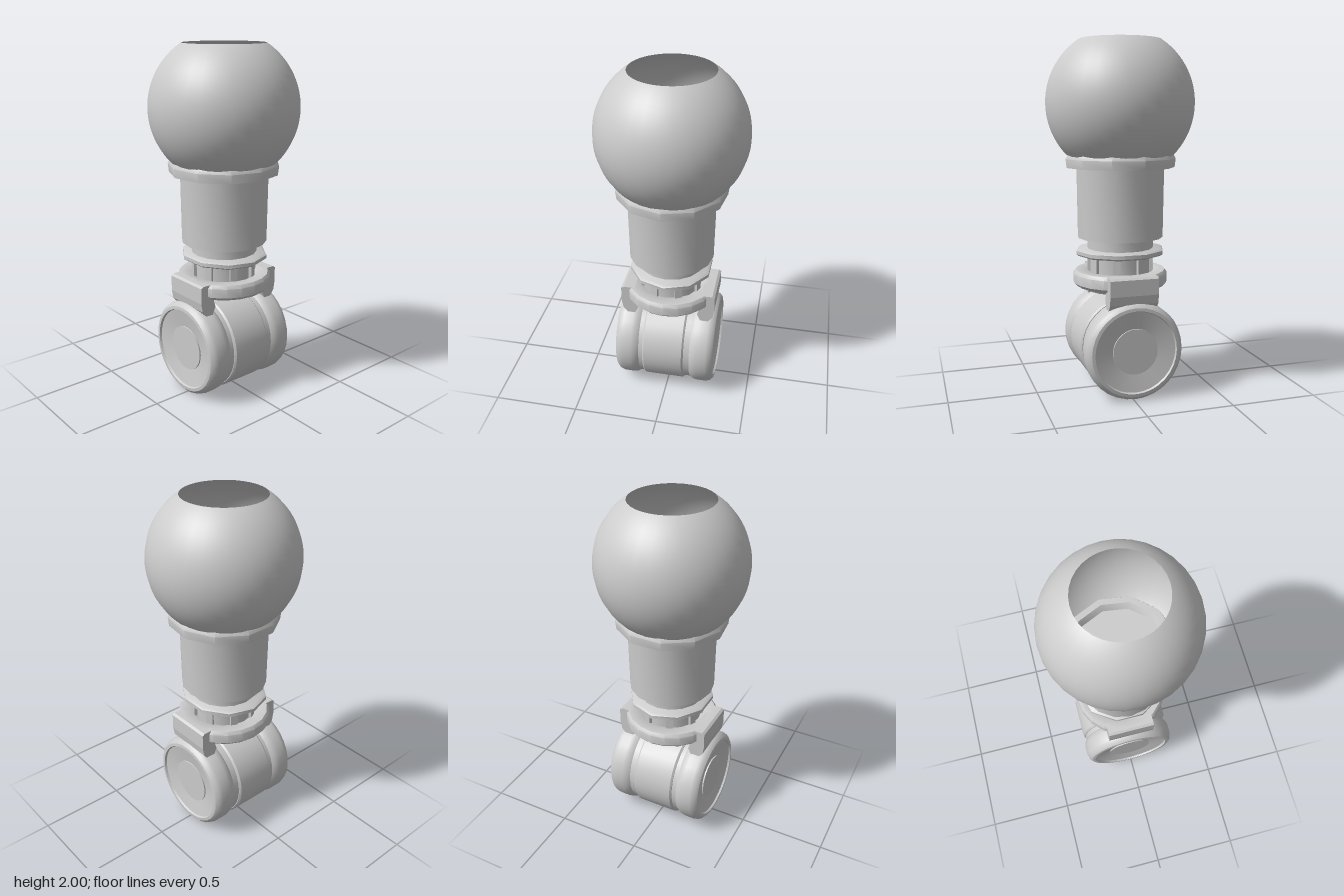
import * as THREE from 'three';
import { toCreasedNormals } from 'three/addons/utils/BufferGeometryUtils.js';

const grey = new THREE.MeshStandardMaterial({ color: 0xcccccc });
const greyDouble = new THREE.MeshStandardMaterial({ color: 0xcccccc, side: THREE.DoubleSide });

export function createModel() {
  const model = new THREE.Group();

  const add = (name, geometry, material = grey) => {
    const mesh = new THREE.Mesh(geometry, material);
    mesh.name = name;
    model.add(mesh);
    return mesh;
  };
  // Turned part from [radius, height] pairs, listed bottom to top
  const turned = (profile, sides, crease = 0.7) =>
    toCreasedNormals(new THREE.LatheGeometry(profile.map(([r, y]) => new THREE.Vector2(r, y)), sides), crease);

  // Hollow ball, open at the top, seated in the collar
  const ballRadius = 0.42, ballY = 1.65;
  const topAngle = Math.acos((2 - ballY) / ballRadius);
  const ball = new THREE.SphereGeometry(ballRadius, 32, 24, 0, Math.PI * 2, topAngle, 2.42 - topAngle);
  add('ball', ball, greyDouble).position.y = ballY;

  // Faceted collar under the ball
  add('collar', turned([[0, 1.29], [0.312, 1.29], [0.318, 1.34], [0.305, 1.362], [0.27, 1.362], [0.25, 1.32], [0, 1.32]], 11));

  // Column
  add('column', turned([[0, 0.89], [0.246, 0.89], [0.252, 1.3], [0, 1.3]], 16));

  // Neck with a thin ring and small ribs
  add('neck', turned([[0, 0.66], [0.175, 0.66], [0.175, 0.8], [0.19, 0.8], [0.19, 0.9], [0, 0.9]], 16));
  const ring = add('neckRing', turned([[0, 0.787], [0.245, 0.787], [0.26, 0.797], [0.26, 0.817], [0.245, 0.827], [0, 0.827]], 10));
  ring.scale.x = 0.93;
  for (let i = 0; i < 8; i++) {
    const a = ((i + 0.5) / 8) * Math.PI * 2;
    const rib = add('neckRib', new THREE.BoxGeometry(0.04, 0.12, 0.03));
    rib.position.set(Math.sin(a) * 0.173, 0.74, Math.cos(a) * 0.173);
    rib.rotation.y = a;
  }

  // Yoke: rounded disc with a smaller underside and two arms
  add('yokeDisc', turned([
    [0, 0.588], [0.2, 0.588], [0.215, 0.61], [0.255, 0.612], [0.272, 0.63],
    [0.272, 0.682], [0.258, 0.7], [0.2, 0.7], [0.18, 0.685], [0, 0.685],
  ], 20));
  const armShape = new THREE.Shape(
    [[0.19, 0.69], [0.19, 0.6], [0.178, 0.56], [0.205, 0.5], [0.23, 0.5], [0.27, 0.55], [0.279, 0.6], [0.279, 0.69], [0.265, 0.7], [0.2, 0.7]]
      .map(([x, y]) => new THREE.Vector2(x, y)));
  const armGeometry = new THREE.ExtrudeGeometry(armShape, { depth: 0.28, bevelEnabled: false }).translate(0, 0, -0.14);
  for (const turn of [0, Math.PI]) {
    add('yokeArm', armGeometry).rotation.y = turn;
  }

  // Wheel: centre drum, grooves and two end hubs on one sideways axle
  const wheel = new THREE.Group();
  wheel.name = 'wheel';
  wheel.position.set(-0.005, 0.28, -0.008);
  model.add(wheel);
  const addToWheel = (name, profile, turn = 0) => {
    const mesh = new THREE.Mesh(turned(profile, 32, 0.6).rotateZ(-Math.PI / 2), grey);
    mesh.name = name;
    mesh.rotation.y = turn;
    wheel.add(mesh);
  };
  addToWheel('drum', [[0, -0.13], [0.266, -0.13], [0.275, -0.12], [0.275, 0.11], [0.266, 0.12], [0, 0.12]]);
  addToWheel('axle', [[0, -0.2], [0.262, -0.2], [0.262, 0.2], [0, 0.2]]);
  for (const turn of [0, Math.PI]) {
    addToWheel('hub', [
      [0, 0.155], [0.262, 0.155], [0.276, 0.175], [0.28, 0.2], [0.28, 0.255], [0.272, 0.28],
      [0.255, 0.295], [0.237, 0.297], [0.232, 0.285], [0.13, 0.268], [0.13, 0.276], [0, 0.276],
    ], turn);
  }

  return model;
}
